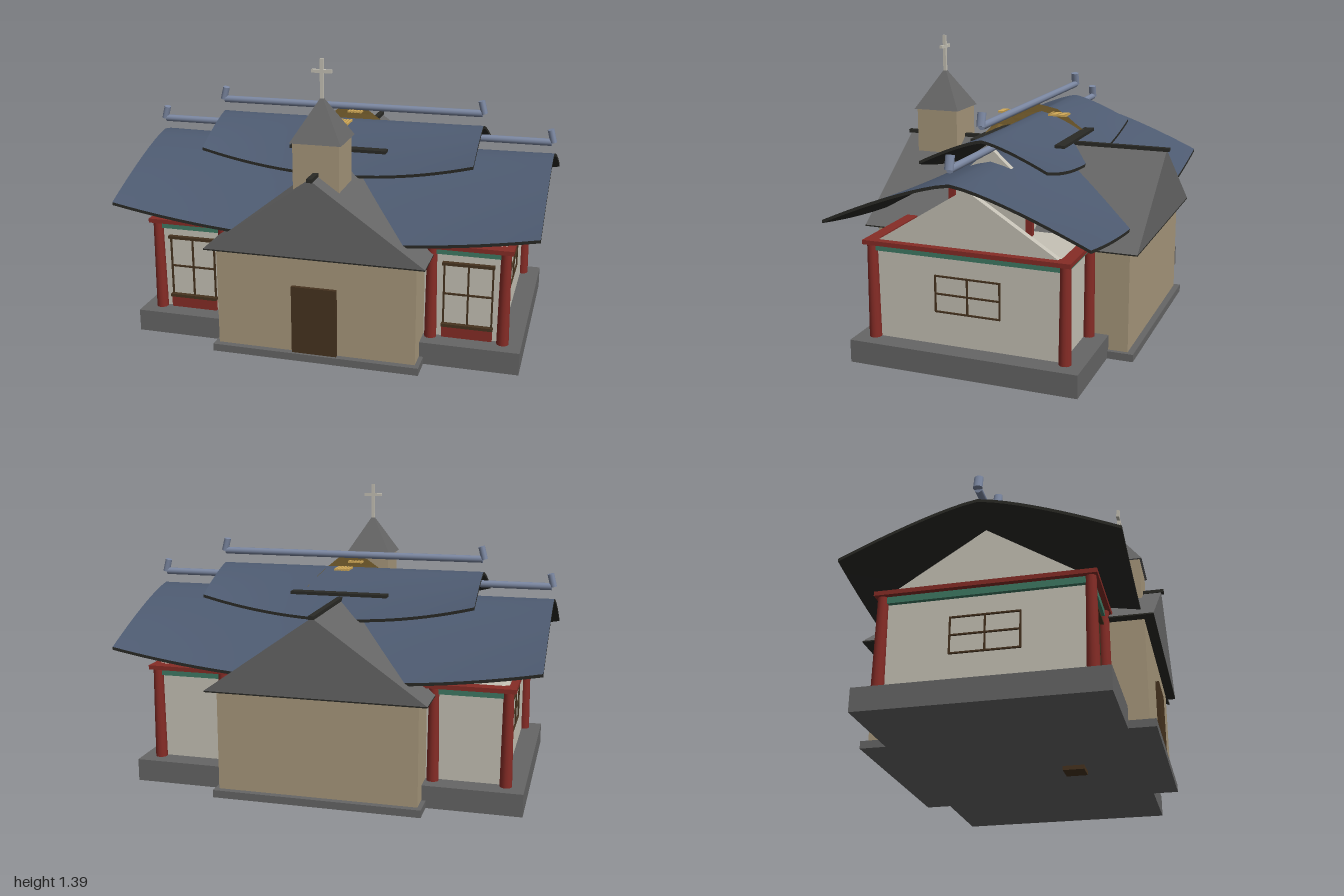
import * as THREE from 'three';

const mat = (name, color) => {
  const m = new THREE.MeshStandardMaterial({ color });
  m.name = name;
  return m;
};
const M = {
  tan: mat('tan plaster', 0xa8987c),
  wall: mat('white plaster', 0xc6c2b6),
  slate: mat('blue tiles', 0x4d5a70),
  gray: mat('gray stone', 0x666666),
  red: mat('red timber', 0x862c26),
  green: mat('green beam', 0x3f7a64),
  gold: mat('gold', 0xd2aa58),
  brown: mat('dark brown wood', 0x46331f),
  dark: mat('dark trim', 0x2a2a26),
  ridge: mat('blue gray ridge', 0x7c88a2),
};

export function createModel() {
  const root = new THREE.Group();
  root.name = 'chapelHall';

  const add = (name, geo, material, x = 0, y = 0, z = 0) => {
    const mesh = new THREE.Mesh(geo, material);
    mesh.name = name;
    mesh.position.set(x, y, z);
    root.add(mesh);
    return mesh;
  };
  // Box given by its centre in x and z, and by its bottom and top
  const box = (name, m, w, y0, y1, d, x = 0, z = 0) =>
    add(name, new THREE.BoxGeometry(w, y1 - y0, d), m, x, (y0 + y1) / 2, z);
  // Triangular prism along z
  const prism = (name, m, half, y0, y1, depth) => {
    const s = new THREE.Shape([new THREE.Vector2(-half, y0), new THREE.Vector2(half, y0), new THREE.Vector2(0, y1)]);
    const g = new THREE.ExtrudeGeometry(s, { depth, bevelEnabled: false });
    g.translate(0, 0, -depth / 2);
    return add(name, g, m);
  };
  // Rectangular ring of beams
  const ring = (name, m, x, z, y0, y1, t) => {
    for (const s of [-1, 1]) {
      box(name, m, 2 * x, y0, y1, t, 0, s * (z - t / 2));
      box(name, m, t, y0, y1, 2 * (z - t), s * (x - t / 2), 0);
    }
  };

  // Platforms
  box('platform', M.gray, 1.83, 0.02, 0.125, 1.06);
  box('chapelPlinth', M.gray, 0.97, 0.02, 0.055, 1.3);
  box('footPlate', M.brown, 0.1, 0, 0.02, 0.1, 0, 0.22);

  // Hall walls, beams and gable ends
  box('hallWalls', M.wall, 1.64, 0.125, 0.57, 0.86);
  ring('greenBeam', M.green, 0.84, 0.455, 0.53, 0.56, 0.04);
  ring('redBeam', M.red, 0.865, 0.478, 0.56, 0.58, 0.055);
  for (const s of [-1, 1]) {
    const gable = prism('hallGable', M.wall, 0.43, 0.57, 0.84, 0.03);
    gable.rotation.y = Math.PI / 2;
    gable.position.x = s * 0.815;
  }

  // Columns
  const column = new THREE.CylinderGeometry(0.023, 0.028, 0.435, 12);
  for (const x of [-0.83, -0.5, 0.5, 0.83])
    for (const z of [-0.447, 0.447]) add('column', column, M.red, x, 0.3425, z);

  // Front windows with lower panels, and windows in the end walls
  for (const s of [-1, 1]) {
    const x = s * 0.665;
    box('windowPanel', M.red, 0.23, 0.125, 0.178, 0.02, x, 0.435);
    box('windowSill', M.brown, 0.235, 0.178, 0.192, 0.03, x, 0.438);
    box('windowHead', M.brown, 0.235, 0.477, 0.49, 0.03, x, 0.438);
    for (const dx of [-0.11, 0, 0.11]) box('windowBar', M.brown, 0.008, 0.19, 0.48, 0.009, x + dx, 0.433);
    box('windowBar', M.brown, 0.22, 0.331, 0.339, 0.009, x, 0.433);
    for (const z of [-0.15, 0, 0.15]) box('sideWindowBar', M.brown, 0.009, 0.275, 0.445, 0.007, s * 0.823, z);
    for (const y of [0.275, 0.357, 0.438]) box('sideWindowBar', M.brown, 0.009, y, y + 0.007, 0.3, s * 0.823, 0);
  }

  // Swept tiled roof: the eaves sag in the middle, the ridge stays level
  const sweptRoof = (name, halfX, halfZ, top, endDrop, midDrop) => {
    const th = 0.014;
    const g = new THREE.BoxGeometry(2 * halfX, th, 2 * halfZ, 24, 1, 20);
    const p = g.attributes.position;
    for (let i = 0; i < p.count; i++) {
      const u = p.getX(i) / halfX, t = Math.abs(p.getZ(i)) / halfZ;
      const drop = midDrop + (endDrop - midDrop) * u * u;
      p.setY(i, top + p.getY(i) - th / 2 - drop * Math.pow(t, 1.3));
    }
    g.computeVertexNormals();
    add(name, g, [M.dark, M.dark, M.slate, M.dark, M.dark, M.dark]);
  };
  sweptRoof('lowerRoof', 0.983, 0.6, 0.9, 0.21, 0.305);
  sweptRoof('upperRoof', 0.65, 0.3, 1.015, 0.115, 0.2);

  // Ridge rails with upturned ends
  for (const [half, y] of [[0.97, 0.958], [0.645, 1.075]]) {
    const rail = add('ridgeRail', new THREE.CylinderGeometry(0.017, 0.017, 2 * half, 10), M.ridge, 0, y, 0);
    rail.rotation.z = Math.PI / 2;
    for (const s of [-1, 1]) {
      const end = add('ridgeEnd', new THREE.CylinderGeometry(0.021, 0.021, 0.062, 10), M.ridge, s * half, y + 0.03, 0);
      end.rotation.z = s * 0.25;
      end.scale.x = 0.75;
    }
  }

  // Upper storey between the two roofs
  box('upperWalls', M.wall, 1.1, 0.58, 0.81, 0.34);
  ring('upperBeam', M.green, 0.565, 0.18, 0.78, 0.81, 0.03);
  for (const s of [-1, 1]) {
    const gable = prism('upperGable', M.wall, 0.17, 0.81, 0.96, 0.03);
    gable.rotation.y = Math.PI / 2;
    gable.position.x = s * 0.535;
    for (const z of [-0.185, 0.185]) box('upperColumn', M.red, 0.03, 0.58, 0.79, 0.03, s * 0.55, z);
  }

  // Cross wing with its gabled roof and door
  box('chapelWalls', M.tan, 0.93, 0.055, 0.53, 1.24);
  box('eaveTrim', M.dark, 1.02, 0.524, 0.53, 1.33);
  prism('chapelRoof', M.gray, 0.51, 0.53, 0.89, 1.33);
  box('ridgePole', M.dark, 0.025, 0.883, 0.9, 1.355);
  box('door', M.brown, 0.21, 0.055, 0.377, 0.025, 0, 0.625);

  // Bell tower with spire and cross
  box('towerWalls', M.tan, 0.212, 0.815, 1.03, 0.212, 0, 0.472);
  const spire = new THREE.ConeGeometry(0.117 * Math.SQRT2, 0.195, 4, 1).toNonIndexed();
  spire.rotateY(Math.PI / 4);
  spire.computeVertexNormals();
  add('spire', spire, M.gray, 0, 1.1255, 0.472);
  box('crossPost', M.wall, 0.015, 1.2, 1.386, 0.015, 0, 0.472);
  box('crossBar', M.wall, 0.092, 1.323, 1.338, 0.015, 0, 0.472);

  // Faceted gold lantern lofted along z
  const half = [[0.1, 1, 0.14], [0.16, 1.02, 0.1], [0.21, 1, 0.045], [0.24, 0.8, 0]];
  const sections = [...half.map(([z, w, h]) => [-z, w, h]).reverse(), [0, 0.97, 0.16], ...half];
  const outline = [[0.19, 0], [0.165, 0.4], [0.12, 0.7], [0.06, 1], [-0.06, 1], [-0.12, 0.7], [-0.165, 0.4], [-0.19, 0]];
  const pos = [], idx = [], n = outline.length;
  for (const [z, w, h] of sections) for (const [x, k] of outline) pos.push(x * w, 0.9 + k * h, z);
  for (let j = 0; j < sections.length - 1; j++)
    for (let i = 0; i < n - 1; i++) {
      const a = j * n + i, b = a + n;
      idx.push(a, a + 1, b, a + 1, b + 1, b);
    }
  let lantern = new THREE.BufferGeometry();
  lantern.setAttribute('position', new THREE.Float32BufferAttribute(pos, 3));
  lantern.setIndex(idx);
  // Wind the faces outwards
  for (let i = 0; i < idx.length; i += 3) [idx[i + 1], idx[i + 2]] = [idx[i + 2], idx[i + 1]];
  lantern.setIndex(idx);
  lantern = lantern.toNonIndexed();
  lantern.computeVertexNormals();
  add('goldLantern', lantern, M.gold);

  // Lantern boards and roof slats
  for (const s of [-1, 1]) {
    box('lanternBoard', M.dark, 0.465, 0.91, 0.924, 0.05, 0, s * 0.212);
    for (let i = -2; i <= 2; i++) box('lanternSlat', M.gold, 0.01, 1.021, 1.03, 0.09, i * 0.015, s * 0.13);
  }
  return root;
}
